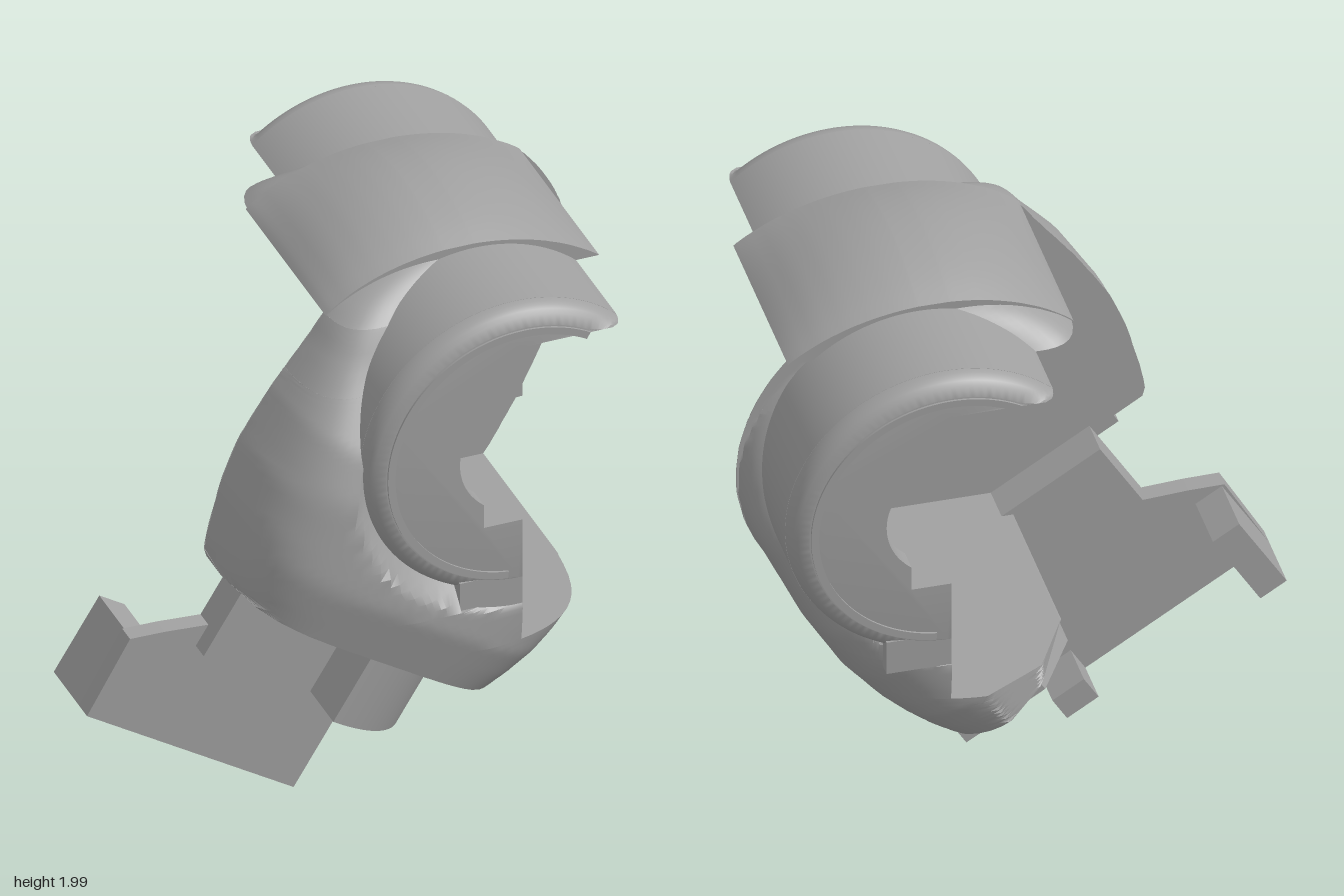
import * as THREE from 'three';
import { toCreasedNormals } from 'three/addons/utils/BufferGeometryUtils.js';

const grey = new THREE.MeshStandardMaterial({ color: 0xa0a0a0, side: THREE.DoubleSide });
grey.name = 'plain grey';

// Tilted frame of the joint: u runs up the arm, v across it.
const U = [0.53, 0.85], VC = -0.475, UC = 1.37, HUB = [0.34, 1.4];
const toUV = (x, y) => [x * U[0] + y * U[1], x * U[1] - y * U[0] - VC];

function ramp(points, t) {
  if (t <= points[0][0]) return points[0][1];
  for (let i = 1; i < points.length; i++) {
    const [a, p] = points[i - 1], [b, q] = points[i];
    if (t <= b) return p + (q - p) * (t - a) / (b - a);
  }
  return points[points.length - 1][1];
}
const HALF = [[0.54, 0.53], [0.62, 0.565], [0.8, 0.62], [0.95, 0.645], [1.15, 0.64], [UC, 0.615]];
const DEPTH = [[0.54, 0.7], [0.72, 0.745], [1.0, 0.74], [1.15, 0.69], [1.39, 0.54],
  [1.6, 0.44], [1.8, 0.37], [1.95, 0.31]];

// 0 at the middle of the shell outline, 1 at its rim
function rim(x, y) {
  const [u, v] = toUV(x, y);
  if (u < 0.54) return 2;
  return u > UC ? Math.hypot((u - UC) / 0.58, v / 0.615) : Math.abs(v) / ramp(HALF, u);
}
// Half thickness of the shell; it sinks smoothly under the round hubs
function depth(x, y) {
  const u = toUV(x, y)[0], s = Math.min(1, rim(x, y));
  const p = ramp([[0.55, 4.5], [1, 4.5], [1.5, 7]], u);
  const w = ramp(DEPTH, u) * Math.pow(1 - Math.pow(s, p), 1 / p);
  const r = Math.hypot(x - HUB[0], y - HUB[1]);
  return Math.max(0.312, Math.min(w, ramp([[0.48, 0.64], [0.58, 0.75]], r)));
}
const back = (x, y) => -depth(x, y);

function extent(y) {
  let lo = null, hi = null;
  for (let x = -0.8; x < 1.1; x += 0.002) {
    if (rim(x, y) <= 1) { if (lo === null) lo = x; hi = x; }
  }
  return lo === null ? null : [lo, hi];
}

// Solid slice of the shell between two heights and two x limits
function slab(name, y0, y1, ny, xa, xb, zBack, zFront) {
  const nx = 30, n = 2 * (nx + 1), pos = [], idx = [];
  let last = [0.3, 0.3];
  for (let j = 0; j <= ny; j++) {
    const y = y0 + (y1 - y0) * Math.sin(j / ny * Math.PI / 2);
    last = extent(y) || last;
    const l = Math.max(last[0], xa), r = Math.max(l, Math.min(last[1], xb));
    for (let i = 0; i < n; i++) {
      const front = i <= nx, k = front ? i : n - 1 - i;
      const x = l + (r - l) * (1 - Math.cos(k / nx * Math.PI)) / 2;
      pos.push(x, y, front ? zFront(x, y) : zBack(x, y));
    }
  }
  for (let j = 0; j < ny; j++) for (let i = 0; i < n; i++) {
    const a = j * n + i, b = j * n + (i + 1) % n;
    idx.push(a, b, b + n, a, b + n, a + n);
  }
  const t = ny * n;
  for (let i = 0; i < nx; i++) {
    const f = i, g = i + 1, b = n - 1 - i, c = n - 2 - i;
    idx.push(b, c, g, b, g, f, t + f, t + g, t + c, t + f, t + c, t + b);
  }
  const geo = new THREE.BufferGeometry();
  geo.setAttribute('position', new THREE.Float32BufferAttribute(pos, 3));
  geo.setIndex(idx);
  return mesh(name, toCreasedNormals(geo.toNonIndexed(), 0.6));
}
function mesh(name, geo) {
  const m = new THREE.Mesh(geo, grey);
  m.name = name;
  return m;
}
function box(name, x0, x1, y0, y1, z0, z1) {
  const m = mesh(name, new THREE.BoxGeometry(x1 - x0, y1 - y0, z1 - z0));
  m.position.set((x0 + x1) / 2, (y0 + y1) / 2, (z0 + z1) / 2);
  return m;
}
function extrude(shape, from, to, steps = 1) {
  const g = new THREE.ExtrudeGeometry(shape, { depth: to - from, steps, bevelEnabled: false, curveSegments: 64 });
  return g.translate(0, 0, from);
}

// Bridge over the opening, crowned across its width
function topBridge() {
  const left = [], right = [], y0 = 1.79, h = 0.2085;
  for (let j = 0; j <= 24; j++) {
    const y = y0 + h * Math.sin(j / 24 * Math.PI / 2), [l, r] = extent(y);
    left.push(new THREE.Vector2(l, y));
    right.unshift(new THREE.Vector2(r, y));
  }
  const geo = extrude(new THREE.Shape([...left, ...right]), -0.33, 0.33, 14);
  const p = geo.attributes.position;
  for (let i = 0; i < p.count; i++) {
    p.setY(i, y0 + (p.getY(i) - y0) * (1 - 0.3 * (p.getZ(i) / 0.33) ** 2));
  }
  return mesh('topBridge', toCreasedNormals(geo, 0.6));
}

// Half-open round hub with a pocket behind a keyhole face
function hub(name) {
  const g = new THREE.Group();
  g.name = name;
  const R = 0.52, start = Math.asin(0.39 / R);
  const block = new THREE.Shape();
  block.absarc(0, 0, R, start, Math.PI + Math.acos(0.21 / R), false);
  block.lineTo(-0.21, 0.22);
  block.lineTo(0, 0.22);
  block.lineTo(0, 0.39);
  g.add(mesh('hubBlock', toCreasedNormals(extrude(block, 0.31, 0.66), 0.5)));

  const face = new THREE.Shape();
  face.absarc(0, 0, R, start, Math.PI * 1.5, false);
  face.lineTo(0, -0.25);
  face.lineTo(-0.13, -0.25);
  face.lineTo(-0.13, -0.165);
  face.absarc(0, 0, 0.21, 4.046, Math.PI / 2, true);
  face.lineTo(0, 0.39);
  const geo = extrude(face, 0.65, 0.73, 6), p = geo.attributes.position;
  for (let i = 0; i < p.count; i++) {   // round over the outer edge
    const x = p.getX(i), y = p.getY(i), r = Math.hypot(x, y);
    if (r < 0.5) continue;
    const k = Math.min(1, (p.getZ(i) - 0.65) / 0.08);
    const s = (R - 0.06 * (1 - Math.sqrt(1 - k * k))) / r;
    p.setXY(i, x * s, y > 0 && x > 0 ? Math.max(0.39, y * s) : y * s);
  }
  g.add(mesh('keyholeFace', toCreasedNormals(geo, 0.7)));
  g.add(box('faceFoot', -0.21, 0, -0.56, -0.44, 0.66, 0.729));

  // Shallow raised ring on the face
  const ring = new THREE.Shape();
  ring.absarc(0, 0, 0.455, start + 0.2, 4.6, false);
  ring.absarc(0, 0, 0.43, 4.6, start + 0.2, true);
  g.add(mesh('faceRing', toCreasedNormals(extrude(ring, 0.725, 0.737), 0.5)));
  g.position.set(HUB[0], HUB[1], 0);
  return g;
}

export function createModel() {
  const model = new THREE.Group();
  model.name = 'jointShell';

  // Bridge above the opening, with shoulders running into the hubs
  model.add(topBridge());
  for (const shoulder of [
    slab('frontShoulder', 1.79, 2.0, 16, -2, 2, () => 0.3, depth),
    slab('backShoulder', 1.79, 2.0, 16, -2, 2, back, () => -0.3)]) {
    shoulder.scale.y = 0.7;
    shoulder.position.y = 1.79 * 0.3;
    model.add(shoulder);
  }
  // Bowl below the opening, drawn in at its back right corner
  const bowlBack = (x, y) => -Math.min(depth(x, y), ramp([[-0.1, 0.4], [0.02, 0.62], [0.25, 0.75]], x));
  model.add(slab('bottomBowl', 0.43, 0.7, 20, -2, 2, bowlBack, depth));

  // Opposed side lobes, each with a pocket beside the hub axis
  for (const [y0, y1, inset] of [[0.7, 0.86, 0], [0.86, 1.62, 0.21], [1.62, 1.79, 0]]) {
    const n = Math.ceil((y1 - y0) * 50);
    model.add(slab('frontLobe', y0, y1, n, -2, HUB[0] - inset, () => 0.31, depth));
    model.add(slab('backLobe', y0, y1, n, HUB[0] + inset, 2, back, () => -0.31));
  }

  // Round hubs, the back one turned half a turn
  const backHub = hub('backHub');
  backHub.rotation.y = Math.PI;
  model.add(hub('frontHub'), backHub);

  // Tilted foot, built in the arm's own frame
  const foot = new THREE.Group();
  foot.name = 'foot';
  foot.rotation.z = -Math.atan2(U[0], U[1]);
  const neck = new THREE.Shape();
  neck.moveTo(-0.38, 0.1);
  neck.lineTo(-0.25, 0.24);
  neck.lineTo(0.05, 0.24);
  neck.lineTo(0.05, 0);
  neck.bezierCurveTo(0.05, -0.25, -0.1, -0.5, -0.38, -0.5);
  const neckGeo = extrude(neck, 0.225, 0.57).rotateX(-Math.PI / 2);
  foot.add(mesh('neck', toCreasedNormals(neckGeo, 0.5)));
  const plate = new THREE.Shape();
  [[-1.02, -0.12], [-0.2, -0.12], [-0.2, 0.22], [-0.38, 0.3], [-0.8, 0.3], [-0.93, 0.23], [-1.03, 0.17]]
    .forEach(([v, u], i) => (i ? plate.lineTo(v, u) : plate.moveTo(v, u)));
  foot.add(mesh('footPlate', extrude(plate, 0.18, 0.245)));
  foot.add(box('channelWall', -0.8, -0.37, 0.22, 0.56, 0.18, 0.31));
  foot.add(box('collar', -0.88, -0.37, 0.51, 0.56, 0.31, 0.48));
  foot.add(box('endLip', -1.02, -0.92, -0.12, 0.17, -0.03, 0.2));
  foot.add(box('cornerLip', -0.32, -0.2, -0.12, -0.03, 0.02, 0.2));
  model.add(foot);
  return model;
}
